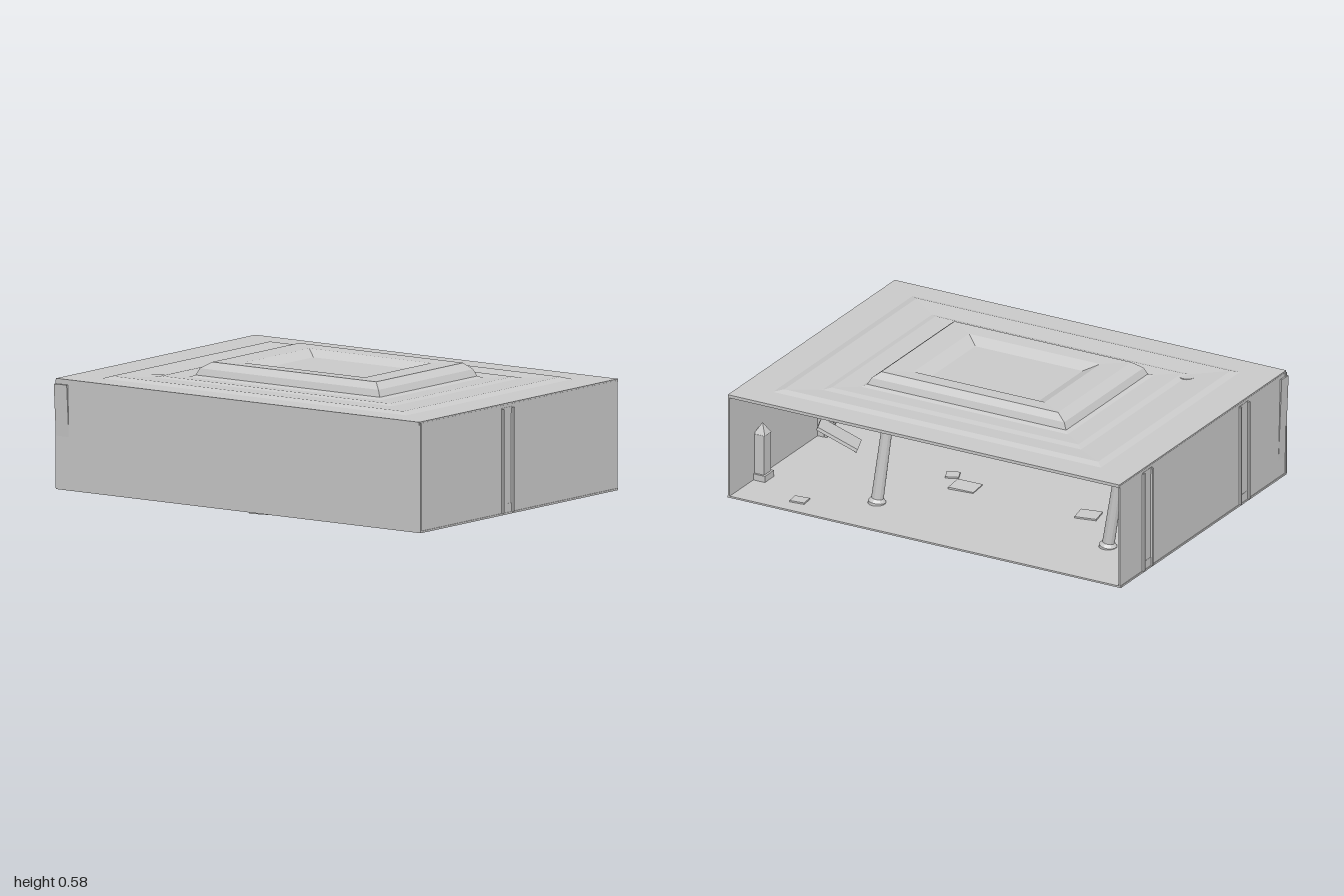
import * as THREE from 'three';

export function createModel() {
  const room = new THREE.Group();
  room.name = 'room';
  const mat = new THREE.MeshStandardMaterial({ color: 0xcccccc, flatShading: true, side: THREE.DoubleSide });

  function add(name, geo, pos = [0, 0, 0], rot = [0, 0, 0], parent = room) {
    const m = new THREE.Mesh(geo, mat);
    m.name = name;
    m.position.set(...pos);
    m.rotation.set(...rot);
    parent.add(m);
    return m;
  }
  const box = (name, size, pos, rot, parent) => add(name, new THREE.BoxGeometry(...size), pos, rot, parent);

  // Floor and three walls; the back stays open
  box('floor', [1.98, 0.008, 1.44], [0, 0.022, -0.01]);
  box('frontWall', [1.98, 0.48, 0.008], [0, 0.262, 0.708]);
  for (const s of [-1, 1]) box(s > 0 ? 'leftWall' : 'rightWall', [0.008, 0.48, 1.44], [s * 0.982, 0.262, -0.01]);

  // Tray ceiling: nested rectangles [x0, x1, z0, z1, y], joined ring by ring
  const rings = [
    [-0.985, 0.985, -0.735, 0.715, 0.494],
    [-0.985, 0.985, -0.735, 0.715, 0.508],
    [-0.82, 0.83, -0.61, 0.6, 0.508],
    [-0.79, 0.79, -0.58, 0.57, 0.518],
    [-0.65, 0.65, -0.49, 0.46, 0.512],
    [-0.62, 0.62, -0.46, 0.44, 0.518],
    [-0.52, 0.52, -0.38, 0.37, 0.514],
    [-0.5, 0.5, -0.36, 0.35, 0.522],
    [-0.485, 0.485, -0.35, 0.34, 0.552],
    [-0.44, 0.45, -0.325, 0.31, 0.58],
    [-0.33, 0.33, -0.25, 0.23, 0.577],
    [-0.27, 0.27, -0.2, 0.18, 0.55],
  ];
  const corners = ([x0, x1, z0, z1, y]) => [[x0, y, z1], [x1, y, z1], [x1, y, z0], [x0, y, z0]];
  const verts = [];
  const quad = (a, b, c, d) => verts.push(...a, ...b, ...c, ...a, ...c, ...d);
  for (let i = 0; i + 1 < rings.length; i++) {
    const o = corners(rings[i]), n = corners(rings[i + 1]);
    for (let k = 0; k < 4; k++) quad(o[k], o[(k + 1) % 4], n[(k + 1) % 4], n[k]);
  }
  quad(...corners(rings[rings.length - 1]));
  const ceiling = new THREE.BufferGeometry();
  ceiling.setAttribute('position', new THREE.Float32BufferAttribute(verts, 3));
  ceiling.computeVertexNormals();
  add('trayCeiling', ceiling);

  // Leaning round columns with a flared foot and cap
  const columnProfile = [[0, 0], [0.04, 0], [0.04, 0.02], [0.028, 0.035], [0.024, 0.45], [0.036, 0.465], [0.036, 0.5], [0, 0.5]]
    .map(([x, y]) => new THREE.Vector2(x, y));
  const columnGeo = new THREE.LatheGeometry(columnProfile, 14);
  const columns = [
    [[0.39, 0.015, -0.47], [0.34, 0.515, -0.43]],
    [[-0.72, 0.015, -0.38], [-0.8, 0.5, -0.38]],
    [[-0.65, 0.015, 0.4], [-0.65, 0.515, 0.43]],
  ];
  for (const [a, b] of columns) {
    const dir = new THREE.Vector3(...b).sub(new THREE.Vector3(...a)).normalize();
    add('column', columnGeo, a).quaternion.setFromUnitVectors(new THREE.Vector3(0, 1, 0), dir);
  }

  // Wall pilasters whose ribs show through to the outside
  for (const [s, z] of [[1, 0.075], [-1, -0.495], [-1, 0.345]]) {
    const g = new THREE.Group();
    g.name = 'pilaster';
    g.position.set(s * 0.96, 0, z);
    room.add(g);
    box('pilasterShaft', [0.04, 0.47, 0.06], [0, 0.26, 0], [0, 0, 0], g);
    box('pilasterFoot', [0.055, 0.04, 0.08], [0, 0.045, 0], [0, 0, 0], g);
    box('pilasterCap', [0.055, 0.03, 0.08], [0, 0.475, 0], [0, 0, 0], g);
    for (const dz of [-0.036, 0.036]) box('pilasterRib', [0.05, 0.46, 0.012], [s * 0.01, 0.255, dz], [0, 0, 0], g);
  }

  // Corner posts; the one on the right leans outward
  box('cornerPost', [0.06, 0.46, 0.06], [0.955, 0.255, 0.66]);
  box('leaningCornerPost', [0.07, 0.46, 0.06], [-0.954, 0.255, 0.682], [0.04, 0, 0.02]);

  // Broken post with a pointed top against the side wall
  box('brokenPost', [0.05, 0.2, 0.06], [0.955, 0.14, -0.485]);
  add('brokenPostTip', new THREE.ConeGeometry(0.04, 0.05, 4), [0.955, 0.265, -0.485], [0, Math.PI / 4, 0]);
  box('brokenPostFoot', [0.06, 0.03, 0.08], [0.95, 0.04, -0.485]);

  // Loose slabs on the floor: [x, z, width, depth, turn, tilt]
  const slabs = [
    [-0.13, 0.48, 0.24, 0.2, 0.75, 0.03],
    [0.14, -0.13, 0.12, 0.1, 0.1, 0.04],
    [-0.48, -0.13, 0.1, 0.09, 0.2, 0],
    [0.69, -0.62, 0.07, 0.06, 0.1, 0],
    [0.25, -0.05, 0.06, 0.06, 0.4, 0],
    [-0.39, 0.38, 0.08, 0.07, 0.3, 0],
  ];
  for (const [x, z, w, d, turn, tilt] of slabs) box('fallenSlab', [w, 0.022, d], [x, 0.022, z], [0, turn, tilt]);
  box('tiltedSlab', [0.2, 0.015, 0.14], [0.84, 0.08, -0.02], [0.1, 0.4, 0.45]);

  // Low rubble lump that pokes just below the floor
  box('rubble', [0.2, 0.03, 0.1], [0.1, 0.016, 0.58], [0, 0.2, 0.01]);
  return room;
}
